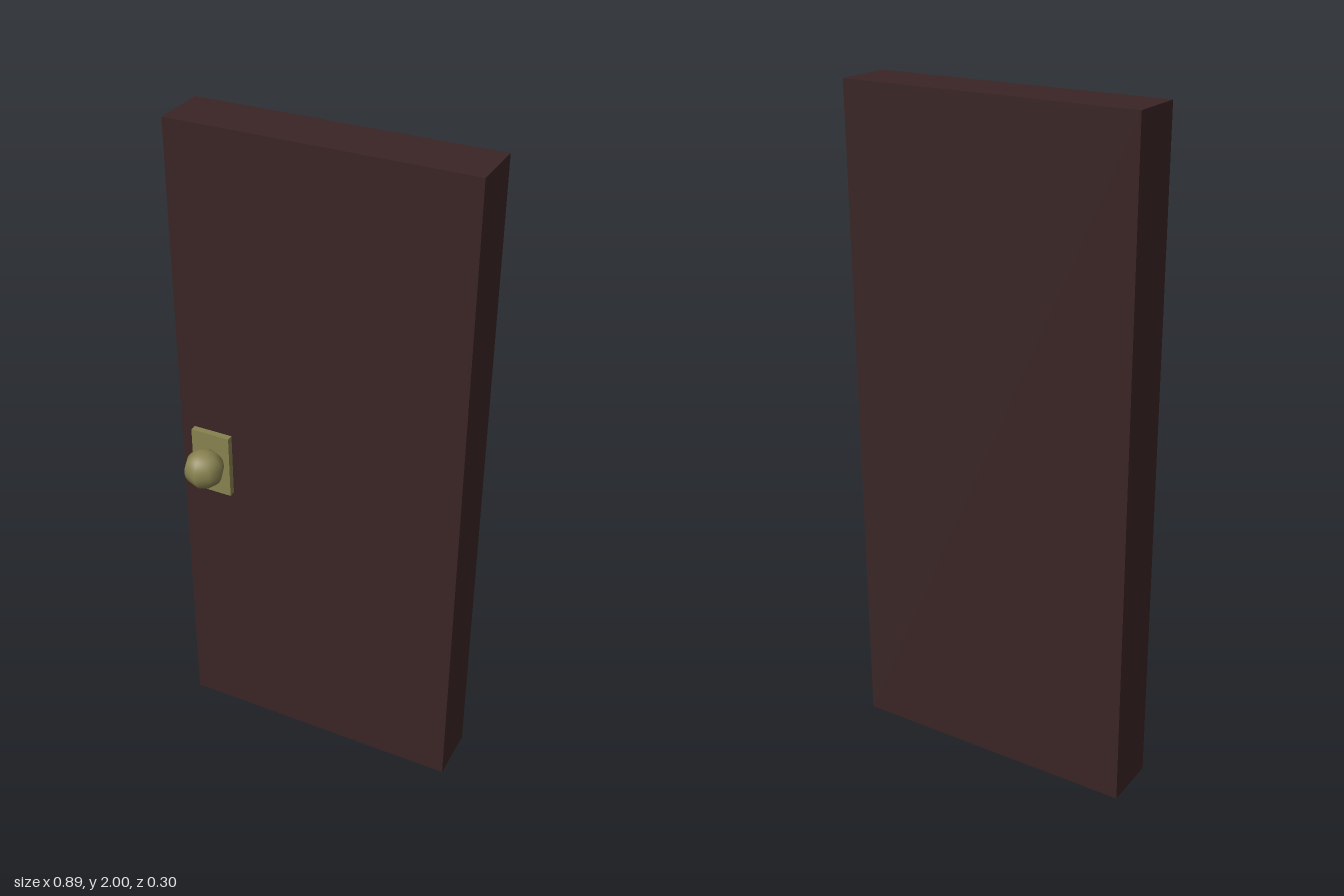
import * as THREE from 'three';

export function createModel() {
  const group = new THREE.Group();
  const darkWood = new THREE.MeshStandardMaterial({ color: 0x3a2525 });
  darkWood.name = 'dark wood';
  const brass = new THREE.MeshStandardMaterial({ color: 0x87814f });
  brass.name = 'aged brass';

  const add = (name, geometry, material, x, y, z) => {
    const mesh = new THREE.Mesh(geometry, material);
    mesh.name = name;
    mesh.position.set(x, y, z);
    group.add(mesh);
  };

  // Plain door slab
  add('doorSlab', new THREE.BoxGeometry(0.89, 2, 0.17), darkWood, 0, 1, -0.063);

  // Backplate, set just clear of the slab
  add('knobPlate', new THREE.BoxGeometry(0.124, 0.202, 0.02), brass, -0.336, 0.966, 0.037);

  // Knob with eight sides around its upright axis
  add('knob', new THREE.SphereGeometry(0.06, 8, 24), brass, -0.336, 0.97, 0.087);

  return group;
}
